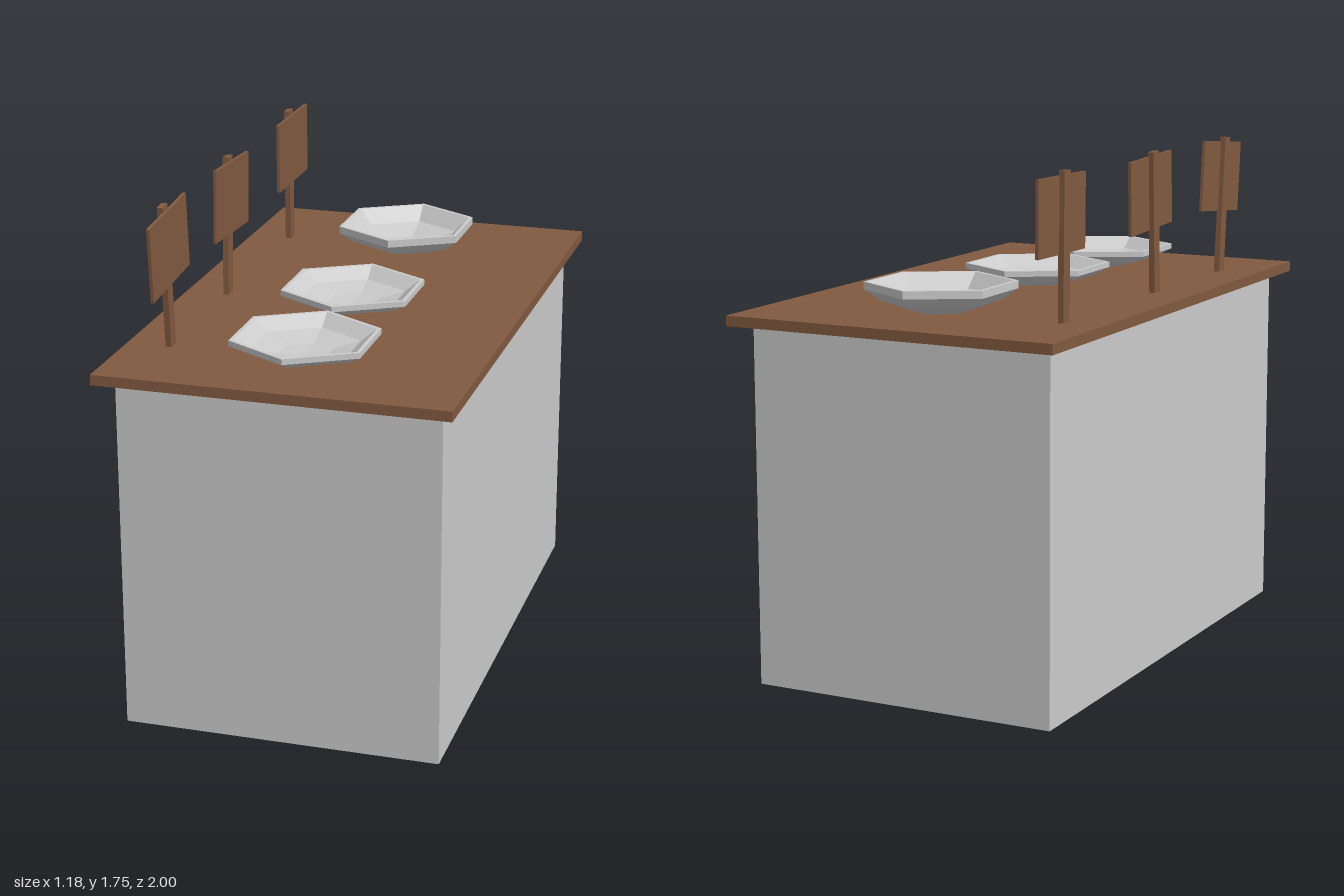
import * as THREE from 'three';

const grey = new THREE.MeshStandardMaterial({ color: 0xcccccc, flatShading: true });
const bowlGrey = new THREE.MeshStandardMaterial({ color: 0xcccccc, flatShading: true, side: THREE.DoubleSide });
const wood = new THREE.MeshStandardMaterial({ color: 0x825a40, flatShading: true });

function box(name, material, [w, h, d], [x, y, z]) {
  const mesh = new THREE.Mesh(new THREE.BoxGeometry(w, h, d), material);
  mesh.name = name;
  mesh.position.set(x, y, z);
  return mesh;
}

// Six-sided bowl: outer wall from the foot up, over the rim, down to the inner floor
function makeBowl(z, height) {
  const profile = [
    [0, 0], [0.1, 0.04], [0.2, 0.38], [0.253, 0.74], [0.253, 1],
    [0.238, 1], [0.185, 0.5], [0.09, 0.2], [0, 0.12],
  ].map(([r, y]) => new THREE.Vector2(r, y * height));
  const bowl = new THREE.Mesh(new THREE.LatheGeometry(profile, 6), bowlGrey);
  bowl.name = 'bowl';
  bowl.position.set(0.01, 1.26, z);
  return bowl;
}

// Sign standing on the counter, leaning sideways by tilt
function makeSign(z, tilt) {
  const sign = new THREE.Group();
  sign.name = 'sign';
  sign.add(box('signPost', wood, [0.02, 0.49, 0.045], [-0.005, 0.24, 0]));
  sign.add(box('signBoard', wood, [0.011, 0.25, 0.337], [0.0075, 0.343, 0]));
  sign.position.set(-0.44, 1.26, z);
  sign.rotation.x = tilt;
  return sign;
}

export function createModel() {
  const model = new THREE.Group();
  model.name = 'counter';
  model.add(box('counterBody', grey, [1.08, 1.225, 1.83], [0, 0.6125, 0]));
  model.add(box('counterTop', wood, [1.18, 0.035, 2], [0, 1.2425, 0]));

  // Bowls, the rear one deeper
  for (const [z, h] of [[-0.608, 0.1], [0.092, 0.073], [0.636, 0.073]]) model.add(makeBowl(z, h));

  // Signs, one behind each bowl
  for (const [z, tilt] of [[-0.628, 0.01], [0.082, -0.045], [0.655, 0.09]]) model.add(makeSign(z, tilt));
  return model;
}
